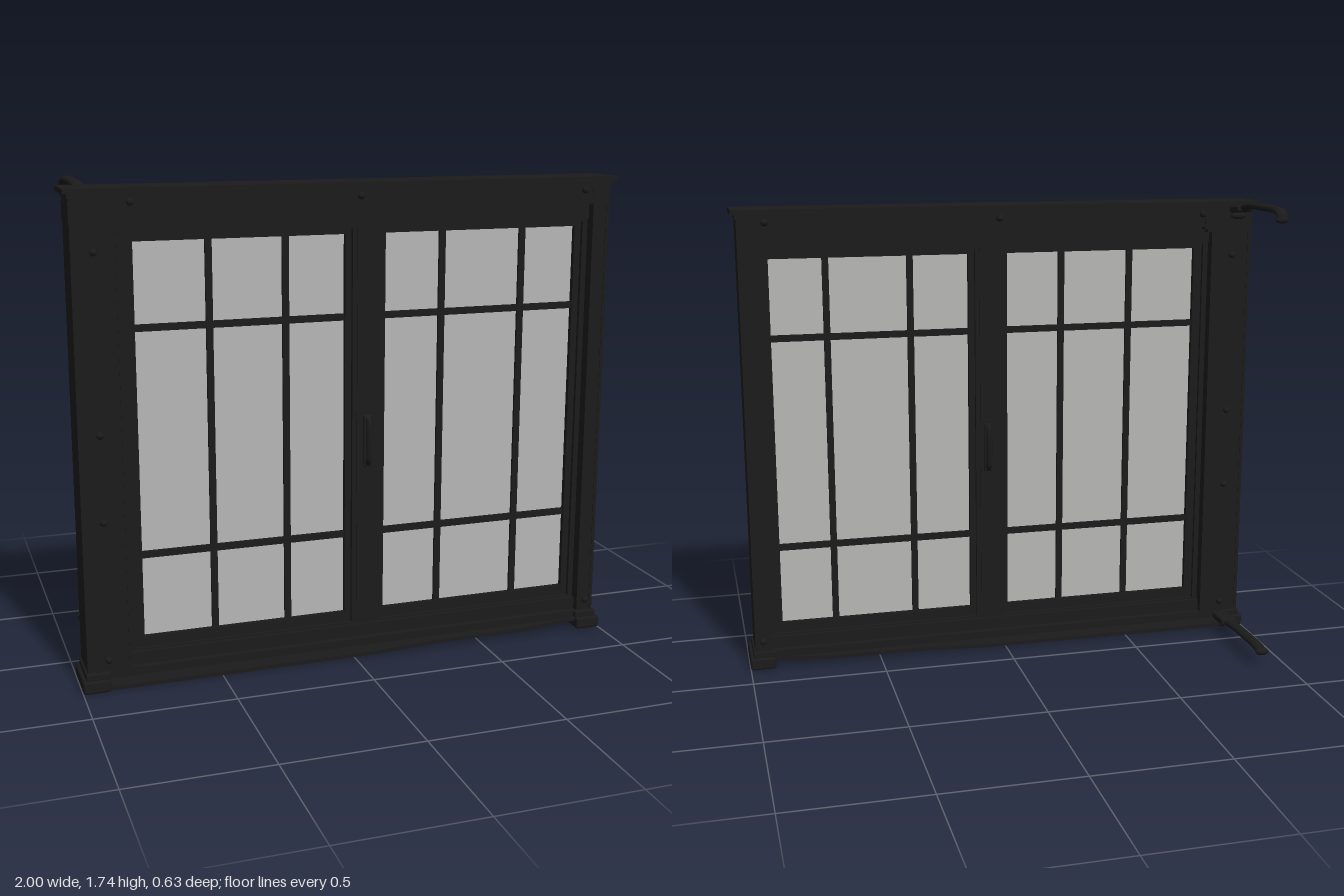
import * as THREE from 'three';
import { RoundedBoxGeometry } from 'three/addons/geometries/RoundedBoxGeometry.js';

const ZC = 0.211; // middle plane of the window wall

export function createModel() {
  const root = new THREE.Group();
  root.name = 'framedWindow';
  const iron = new THREE.MeshStandardMaterial({ color: 0x1b1b1b });
  iron.name = 'blackened iron';
  const glass = new THREE.MeshStandardMaterial({ color: 0xb7b7b6 });
  glass.name = 'grey glass';

  const add = (name, geometry, material = iron, parent = root) => {
    const mesh = new THREE.Mesh(geometry, material);
    mesh.name = name;
    parent.add(mesh);
    return mesh;
  };
  // Box given by its x and y limits, centred on the wall plane
  const box = (name, x0, x1, y0, y1, depth, material = iron, parent = root) => {
    const m = add(name, new THREE.BoxGeometry(x1 - x0, y1 - y0, depth), material, parent);
    m.position.set((x0 + x1) / 2, (y0 + y1) / 2, ZC);
    return m;
  };
  // Rectangular ring of two stiles and two rails; o and i are [x0, x1, y0, y1]
  const ring = (name, o, i, depth, parent) => {
    box(name + 'Stile', o[0], i[0], o[2], o[3], depth, iron, parent);
    box(name + 'Stile', i[1], o[1], o[2], o[3], depth, iron, parent);
    box(name + 'Rail', i[0], i[1], o[2], i[2], depth, iron, parent);
    box(name + 'Rail', i[0], i[1], i[3], o[3], depth, iron, parent);
  };

  // Posts, head beam, centre mullion and bottom rail
  box('widePost', -0.98, -0.82, 0.06, 1.72, 0.145);
  box('narrowPost', 0.915, 0.98, 0.06, 1.72, 0.145);
  box('headBeam', -0.82, 0.915, 1.64, 1.72, 0.14);
  box('headLowerStrip', -0.82, 0.915, 1.58, 1.64, 0.085);
  box('bottomRail', -0.82, 0.915, 0.07, 0.115, 0.1);
  box('sill', -0.96, 0.96, 0.042, 0.07, 0.15);
  box('centreMullion', 0.02, 0.09, 0.07, 1.64, 0.078);
  box('postCapPlate', -0.982, -0.79, 1.63, 1.69, 0.152);
  box('postCapBand', -0.982, -0.8, 1.62, 1.632, 0.16);
  box('headMoulding', -0.8, 0.98, 1.642, 1.652, 0.155);
  box('headUpperMoulding', -0.985, 0.985, 1.705, 1.722, 0.165);
  box('topSlab', -1, 1, 1.72, 1.737, 0.186);
  [-0.974, -0.826, 0.921, 0.974].forEach((x) => box('postEdgeStrip', x - 0.006, x + 0.006, 0.07, 1.63, 0.15));

  // Stepped feet under both posts
  [-1, 1].forEach((s) => {
    const foot = add('foot', new RoundedBoxGeometry(0.095, 0.045, 0.193, 2, 0.008));
    foot.position.set(s * 0.9525, 0.0245, 0.217);
    const step = add('footStep', new RoundedBoxGeometry(0.085, 0.026, 0.17, 2, 0.005));
    step.position.set(s * 0.945, 0.057, 0.217);
  });

  // Thin bent plate slung beneath the sill
  const plate = new THREE.Shape();
  [[-0.99, 0], [0.08, 0.004], [0.32, 0.015], [0.7, 0.018], [0.94, 0.036],
    [0.9, 0.048], [0.7, 0.031], [0.32, 0.028], [0.08, 0.017], [-0.99, 0.015]]
    .forEach(([x, y], i) => (i ? plate.lineTo(x, y) : plate.moveTo(x, y)));
  const plateGeo = new THREE.ExtrudeGeometry(plate, { depth: 0.165, bevelEnabled: false });
  plateGeo.translate(0, 0, 0.132);
  add('underPlate', plateGeo);

  // Casements: shallow frame, raised outer lip, glass and glazing bars
  const casement = (name, x0, x1, gx0, gx1, bars) => {
    const g = new THREE.Group();
    g.name = name;
    root.add(g);
    const y0 = 0.1, y1 = 1.59, gy0 = 0.16, gy1 = 1.555;
    ring('casementFrame', [x0, x1, y0, y1], [gx0, gx1, gy0, gy1], 0.044, g);
    ring('casementLip', [x0, x1, y0, y1], [x0 + 0.022, x1 - 0.022, y0 + 0.022, y1 - 0.016], 0.07, g);
    box('pane', gx0, gx1, gy0, gy1, 0.008, glass, g);
    bars.forEach((x) => box('uprightBar', x - 0.012, x + 0.012, gy0, gy1, 0.028, iron, g));
    [0.46, 1.262].forEach((y) => box('crossBar', gx0, gx1, y - 0.012, y + 0.012, 0.032, iron, g));
  };
  casement('rightCasement', -0.822, 0.025, -0.767, -0.02, [-0.507, -0.235]);
  casement('leftCasement', 0.085, 0.917, 0.13, 0.87, [0.35, 0.663]);

  // Domed bolts and pull handles on both faces
  const bolt = new THREE.SphereGeometry(0.013, 12, 8);
  const handlePath = (s) => new THREE.CatmullRomCurve3([
    [0.73, 0.04], [0.74, 0.054], [0.78, 0.06], [0.85, 0.06], [0.885, 0.054], [0.895, 0.04],
  ].map(([y, d]) => new THREE.Vector3(0.06, y, ZC + s * d)));
  [-1, 1].forEach((s) => {
    [[-0.905, 1.53], [-0.905, 0.915], [-0.905, 0.61], [-0.905, 0.11], [-0.78, 1.69], [0.02, 1.69],
      [0.88, 1.69], [0.95, 0.11]].forEach(([x, y]) => {
      const m = add('bolt', bolt);
      m.position.set(x, y, ZC + s * 0.073);
    });
    const backing = add('handlePlate', new RoundedBoxGeometry(0.034, 0.19, 0.012, 2, 0.005));
    backing.position.set(0.06, 0.812, ZC + s * 0.04);
    add('pullHandle', new THREE.TubeGeometry(handlePath(s), 24, 0.011, 8));
  });

  // Arms reaching backward from the wide post: flattened tubes with a broader root
  const arm = (name, pts) => {
    const curve = new THREE.CatmullRomCurve3(pts.map(([z, y]) => new THREE.Vector3(0, y, z)));
    const g = new THREE.Group();
    g.name = name;
    g.position.x = -0.907;
    root.add(g);
    const tube = add('armBar', new THREE.TubeGeometry(curve, 40, 0.013, 10), iron, g);
    tube.scale.x = 1.7;
    [pts[0], pts[pts.length - 1]].forEach(([z, y], i) => {
      const end = add('armEnd', new THREE.SphereGeometry(0.014, 12, 8), iron, g);
      end.scale.x = i ? 1.9 : 2.3;
      end.position.set(0, y, z);
    });
    return g;
  };
  const upper = arm('upperArm', [[0.09, 1.685], [0.095, 1.705], [0.06, 1.711], [-0.02, 1.729], [-0.15, 1.732],
    [-0.26, 1.73], [-0.295, 1.72], [-0.301, 1.7]]);
  const upperRoot = add('armRoot', new RoundedBoxGeometry(0.064, 0.024, 0.085, 2, 0.008), iron, upper);
  upperRoot.position.set(0, 1.711, 0.068);
  upperRoot.rotation.x = 0.12;
  const lower = arm('lowerArm', [[0.14, 0.055], [0.04, 0.055], [-0.04, 0.061], [-0.15, 0.064], [-0.25, 0.064], [-0.295, 0.058]]);
  const lowerRoot = add('armRoot', new RoundedBoxGeometry(0.064, 0.026, 0.11, 2, 0.008), iron, lower);
  lowerRoot.position.set(0, 0.055, 0.083);

  return root;
}
